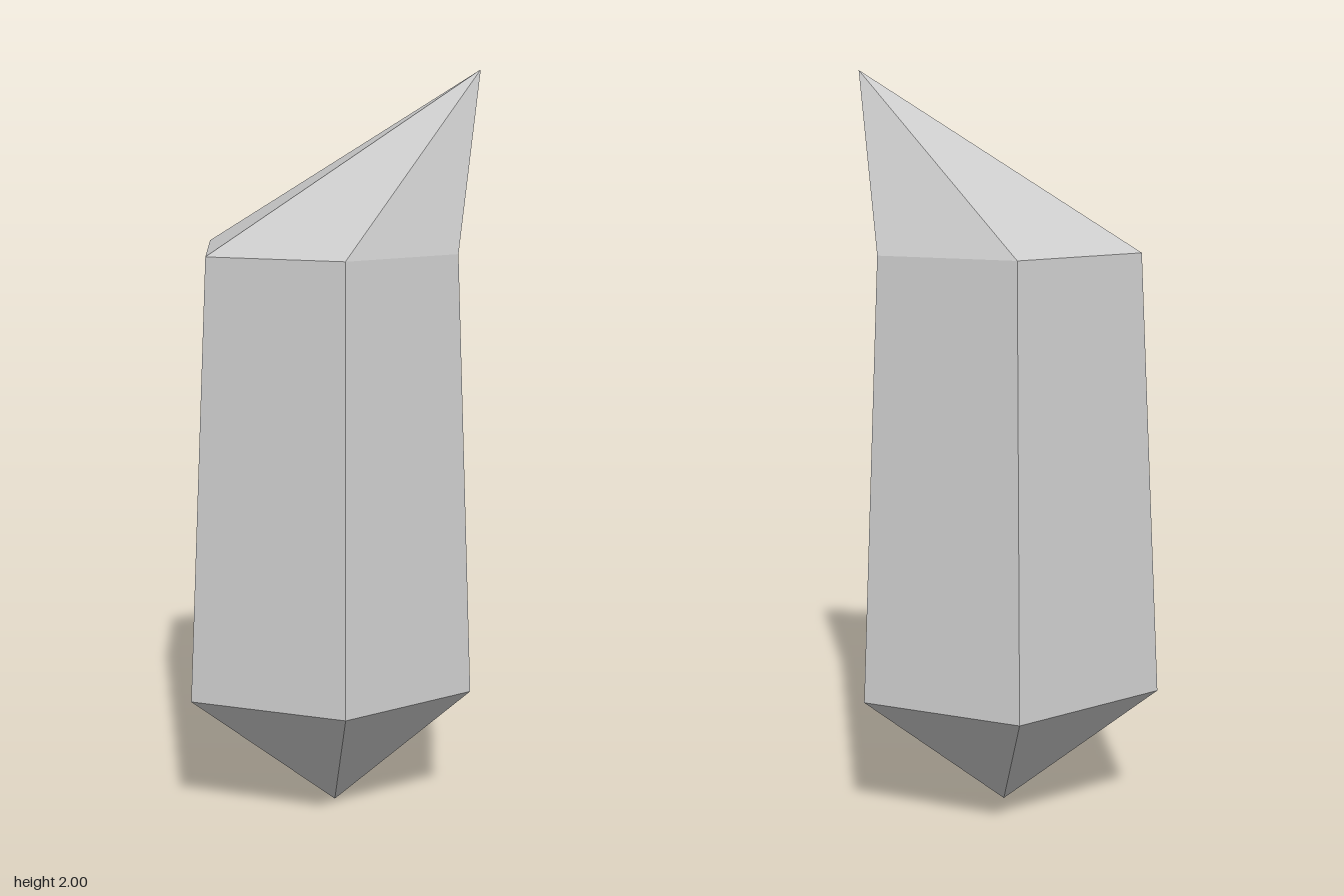
import * as THREE from 'three';

// Uneven six-sided girdle outline as [x, z], running from +x towards +z
const OUTLINE = [
  [0.423, -0.007], [0.212, 0.312], [-0.2, 0.388],
  [-0.424, -0.007], [-0.18, -0.367], [0.25, -0.39],
];

const ring = (y, scale, dx = 0) =>
  OUTLINE.map(([x, z]) => new THREE.Vector3(x * scale + dx, y, z * scale));
const point = (x, y, z) => OUTLINE.map(() => new THREE.Vector3(x, y, z));

// Facets joining a lower ring to an upper one; either may be collapsed to a point
function facets(name, lower, upper, material) {
  const corners = [];
  const add = (a, b, c) => {
    if (!a.equals(b) && !b.equals(c) && !c.equals(a)) corners.push(a, b, c);
  };
  lower.forEach((a, i) => {
    const j = (i + 1) % lower.length;
    add(a, upper[i], lower[j]);
    add(upper[i], upper[j], lower[j]);
  });
  const geometry = new THREE.BufferGeometry().setFromPoints(corners);
  geometry.computeVertexNormals();
  const mesh = new THREE.Mesh(geometry, material);
  mesh.name = name;
  return mesh;
}

export function createModel() {
  const group = new THREE.Group();
  group.name = 'crystal';
  const material = new THREE.MeshStandardMaterial({ color: 0xcccccc, flatShading: true });

  const girdle = ring(0.4, 1);
  const shoulder = ring(1.555, 0.85, 0.004);

  // Pointed base, tapering shaft and leaning off-centre tip
  group.add(
    facets('basePoint', point(0.025, 0, 0), girdle, material),
    facets('shaft', girdle, shoulder, material),
    facets('tip', shoulder, point(0.348, 2, -0.167), material),
  );
  return group;
}
